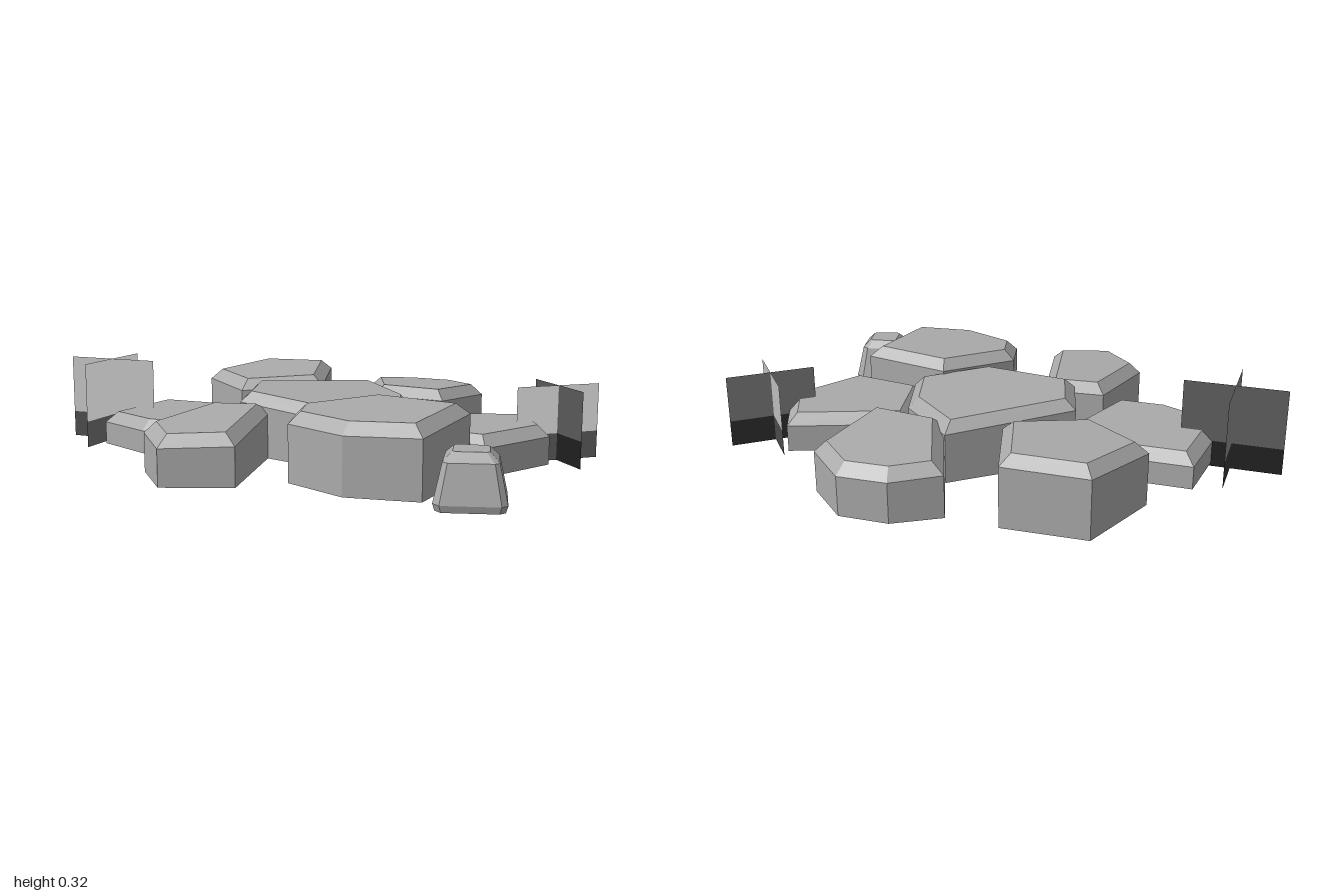
import * as THREE from 'three';

const stoneGrey = new THREE.MeshStandardMaterial({ color: 0xaaaaaa });
stoneGrey.name = 'stoneGrey';
stoneGrey.flatShading = true;
const leafGrey = new THREE.MeshStandardMaterial({ color: 0xaaaaaa, side: THREE.DoubleSide });
leafGrey.name = 'leafGrey';
const stemDark = new THREE.MeshStandardMaterial({ color: 0x414141, side: THREE.DoubleSide });
stemDark.name = 'stemDark';

const BASE = 0.012;

// Shrinks a clockwise (seen from above) outline by a constant margin
function inset(outline, w) {
  const n = outline.length;
  const normal = (a, b) => {
    const dx = b[0] - a[0], dz = b[1] - a[1], l = Math.hypot(dx, dz);
    return [-dz / l, dx / l];
  };
  return outline.map((p, i) => {
    const a = normal(outline[(i + n - 1) % n], p);
    const b = normal(p, outline[(i + 1) % n]);
    const k = w / (1 + a[0] * b[0] + a[1] * b[1]);
    return [p[0] + (a[0] + b[0]) * k, p[1] + (a[1] + b[1]) * k];
  });
}

// Skins a stack of rings of [x, y, z] and caps both ends
function loft(rings) {
  const pos = [];
  const tri = (a, b, c) => pos.push(...a, ...b, ...c);
  const n = rings[0].length;
  const top = rings[rings.length - 1], bottom = rings[0];
  for (let i = 0; i < n; i++) {
    const j = (i + 1) % n;
    for (let r = 0; r < rings.length - 1; r++) {
      const lo = rings[r], hi = rings[r + 1];
      tri(lo[j], lo[i], hi[i]);
      tri(lo[j], hi[i], hi[j]);
    }
    if (i > 0 && i < n - 1) {
      tri(top[0], top[j], top[i]);
      tri(bottom[0], bottom[i], bottom[j]);
    }
  }
  const g = new THREE.BufferGeometry();
  g.setAttribute('position', new THREE.Float32BufferAttribute(pos, 3));
  g.computeVertexNormals();
  return g;
}

// Flat paving slab: straight walls, bevelled rim, slightly tilted top
function slab({ name, outline, height, slopeX = 0, slopeZ = 0, bevel = 0.04 }) {
  const n = outline.length;
  const cx = outline.reduce((s, p) => s + p[0], 0) / n;
  const cz = outline.reduce((s, p) => s + p[1], 0) / n;
  const topY = ([x, z]) => height + (x - cx) * slopeX + (z - cz) * slopeZ;
  const mesh = new THREE.Mesh(loft([
    outline.map(([x, z]) => [x, BASE, z]),
    outline.map((p) => [p[0], topY(p) - bevel, p[1]]),
    inset(outline, 0.04).map((p) => [p[0], topY(p), p[1]]),
  ]), stoneGrey);
  mesh.name = name;
  return mesh;
}

// Small tapered rock with cut corners
function pebble() {
  const outline = [[0.715, 0.375], [0.74, 0.35], [0.89, 0.295], [0.925, 0.305],
    [0.995, 0.46], [0.985, 0.485], [0.82, 0.57], [0.79, 0.555]];
  const c = [0.857, 0.432];
  const ring = (s, y) => outline.map(([x, z]) => [c[0] + (x - c[0]) * s, y, c[1] + (z - c[1]) * s]);
  const mesh = new THREE.Mesh(
    loft([ring(0.94, BASE), ring(1, 0.035), ring(0.76, 0.16), ring(0.5, 0.19)]), stoneGrey);
  mesh.name = 'pebble';
  return mesh;
}

// Two crossed upright cards with a dark foot; normals point up like the ground
function tuft(name, x, z, width, height, turn) {
  const group = new THREE.Group();
  group.name = name;
  const foot = 0.1;
  const card = (part, y0, y1, material, angle) => {
    const g = new THREE.PlaneGeometry(width, y1 - y0).translate(0, (y0 + y1) / 2, 0);
    const nor = g.attributes.normal;
    for (let i = 0; i < nor.count; i++) nor.setXYZ(i, 0, 1, 0);
    const mesh = new THREE.Mesh(g, material);
    mesh.name = part;
    mesh.rotation.y = angle;
    group.add(mesh);
  };
  for (const angle of [0, Math.PI / 2]) {
    card('tuftFoot', 0, foot, stemDark, angle);
    card('tuftBlades', foot, height, leafGrey, angle);
  }
  group.position.set(x, 0, z);
  group.rotation.y = turn;
  return group;
}

export function createModel() {
  const model = new THREE.Group();
  model.name = 'steppingStones';

  const slabs = [
    { name: 'centreStone', height: 0.232, slopeX: -0.06,
      outline: [[-0.3, -0.02], [0.02, -0.41], [0.3, -0.22], [0.43, 0.025], [0.22, 0.26], [-0.18, 0.22]] },
    { name: 'backStone', height: 0.21, slopeZ: 0.06,
      outline: [[-0.12, -0.64], [0.02, -0.765], [0.2, -0.8], [0.38, -0.685], [0.38, -0.325], [0.085, -0.312]] },
    { name: 'backRightStone', height: 0.252, slopeZ: -0.07,
      outline: [[-0.67, -0.225], [-0.61, -0.55], [-0.31, -0.615], [-0.14, -0.28], [-0.395, -0.075]] },
    { name: 'rightStone', height: 0.137,
      outline: [[-0.765, -0.035], [-0.39, -0.105], [-0.245, 0.08], [-0.29, 0.38], [-0.49, 0.417], [-0.735, 0.355]] },
    { name: 'frontStone', height: 0.198, slopeZ: -0.06,
      outline: [[-0.28, 0.27], [-0.06, 0.2], [0.125, 0.655], [-0.09, 0.79], [-0.28, 0.64]] },
    { name: 'frontLeftStone', height: 0.258, slopeZ: -0.04,
      outline: [[0.16, 0.35], [0.325, 0.07], [0.69, 0.085], [0.72, 0.485], [0.48, 0.567], [0.23, 0.505]] },
    { name: 'backLeftStone', height: 0.153,
      outline: [[0.3, -0.22], [0.69, -0.46], [0.85, -0.235], [0.745, 0.08], [0.43, 0.09]] },
  ];
  slabs.forEach((s) => model.add(slab(s)));
  model.add(pebble());

  model.add(tuft('rightTuft', -0.815, 0.225, 0.376, 0.325, 0.185));
  model.add(tuft('leftTuft', 0.825, -0.375, 0.335, 0.278, 0.89));
  return model;
}
